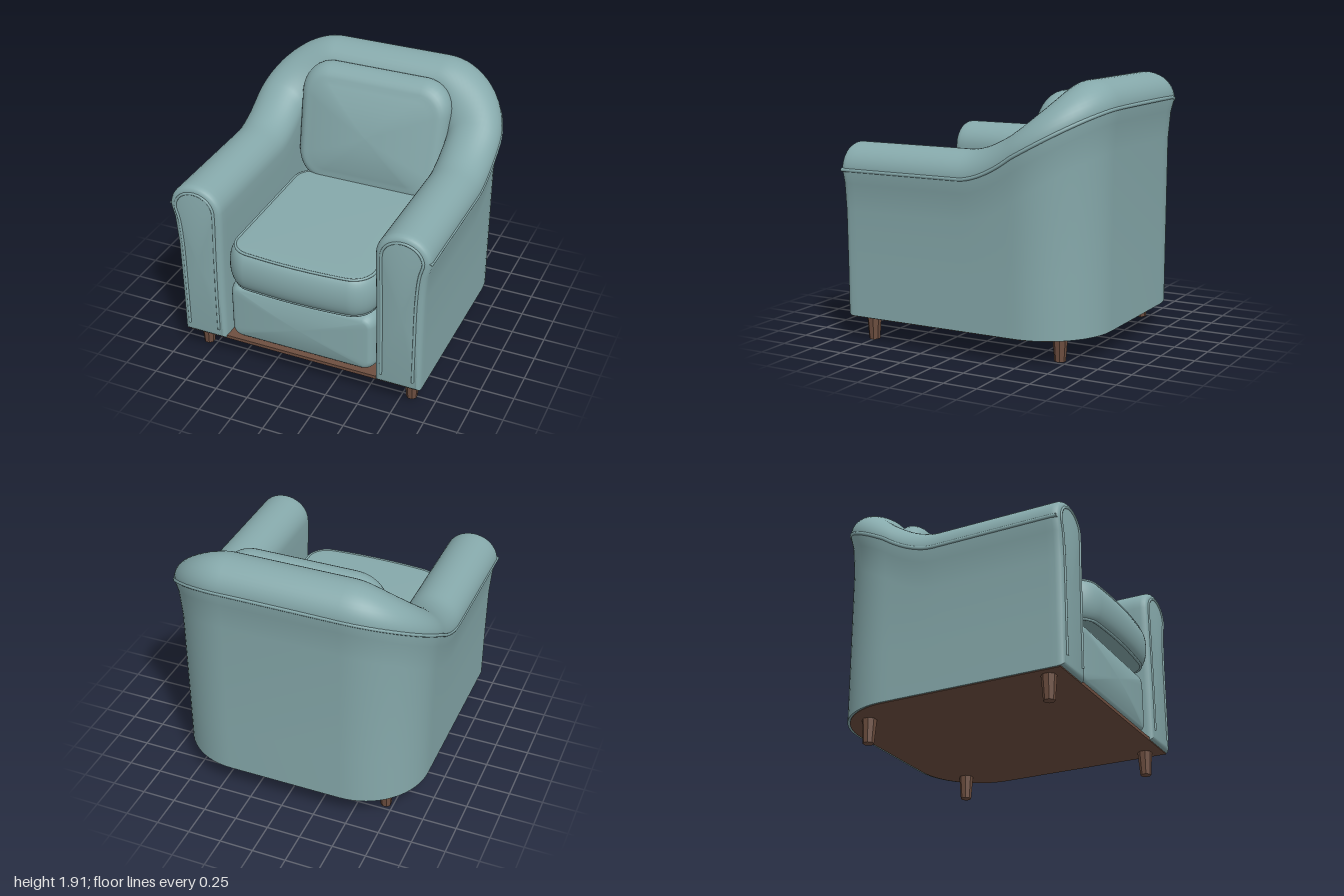
import * as THREE from 'three';
import { toCreasedNormals } from 'three/addons/utils/BufferGeometryUtils.js';

const fabric = new THREE.MeshStandardMaterial({ color: 0x86a9ab });
const wood = new THREE.MeshStandardMaterial({ color: 0x6e4f40 });
const V = (x, y, z) => new THREE.Vector3(x, y, z);

// Skin a list of closed rings with equal point counts
function loft(rings) {
  const n = rings[0].length, pos = [], idx = [];
  rings.forEach(r => r.forEach(p => pos.push(p.x, p.y, p.z)));
  for (let i = 0; i < rings.length - 1; i++) {
    for (let j = 0; j < n; j++) {
      const a = i * n + j, b = i * n + (j + 1) % n, d = a + n, c = b + n;
      idx.push(a, d, b, b, d, c);
    }
  }
  const g = new THREE.BufferGeometry();
  g.setAttribute('position', new THREE.Float32BufferAttribute(pos, 3));
  g.setIndex(idx);
  g.computeVertexNormals();
  return g;
}

// Counter-clockwise rounded rectangle with subdivided straight sides
function outline(w, h, r) {
  const pts = [];
  for (let q = 0; q < 4; q++) {
    const cx = (q === 0 || q === 3 ? 1 : -1) * (w / 2 - r);
    const cy = (q < 2 ? 1 : -1) * (h / 2 - r);
    for (let k = 0; k <= 8; k++) {
      const a = (q + k / 8) * Math.PI / 2;
      pts.push(V(cx + r * Math.cos(a), cy + r * Math.sin(a), 0));
    }
    const span = q % 2 ? h - 2 * r : w - 2 * r, a = (q + 1) * Math.PI / 2, last = pts[pts.length - 1];
    for (let k = 1; k < 8; k++) pts.push(V(last.x - Math.sin(a) * span * k / 8, last.y + Math.cos(a) * span * k / 8, 0));
  }
  return pts;
}

// Stuffed cushion facing +z: rounded rim of half depth D and soft domed faces
function pillow(w, h, r, D, edge, puff) {
  const ring = (inset, s, t) => outline(w - 2 * inset, h - 2 * inset, r - inset).map(p => V(p.x * s, p.y * s, t));
  const rings = [], caps = [0, 0.2, 0.4, 0.6, 0.8, 0.92];
  caps.forEach(s => rings.push(ring(edge, s, D + puff * (1 - s * s))));
  for (let k = 0; k <= 14; k++) {
    const a = Math.PI / 2 - Math.PI * k / 14;
    rings.push(ring(edge * (1 - Math.cos(a)), 1, D * Math.sin(a)));
  }
  caps.reverse().forEach(s => rings.push(ring(edge, s, -D - puff * (1 - s * s))));
  return loft(rings);
}

function moveVertices(g, rule) {
  const p = g.attributes.position, v = V(0, 0, 0);
  for (let i = 0; i < p.count; i++) {
    rule(v.fromBufferAttribute(p, i));
    p.setXYZ(i, v.x, v.y, v.z);
  }
  g.computeVertexNormals();
  return g;
}

// Stations along the U-shaped centreline: position, outward direction, roll height
const FRONT = 0.92, R = 0.35, CX = 0.43, CZ = -0.45;
function stations() {
  const half = [];
  for (let k = 0; k <= 26; k++) {
    const z = 0.87 + (CZ - 0.87) * k / 26;
    const rise = Math.max(0, (-0.05 - z) / 0.4);
    half.push({ x: CX + R, z, nx: 1, nz: 0, h: 1.25 + 0.17 * rise ** 1.7 });
  }
  for (let k = 1; k <= 16; k++) {
    const a = k / 16 * Math.PI / 2, c = Math.cos(a), s = Math.sin(a);
    half.push({ x: CX + R * c, z: CZ - R * s, nx: c, nz: -s, h: 1.42 + 0.31 * s });
  }
  const mirrored = half.map(s => ({ ...s, x: -s.x, nx: -s.nx })).reverse();
  return [...half, ...mirrored];
}

// Wall section with rolled top, as [offset outward, height]
function section(h, inset) {
  const b = 0.18 + inset, pts = [[0.15 - inset, b], [0.152 - inset, 0.55], [0.158 - inset, h - 0.3], [0.175 - inset, h - 0.1]];
  for (let k = 0; k <= 20; k++) {
    const a = Math.PI * k / 20;
    pts.push([(0.2 - inset) * Math.cos(a), h + (0.185 - inset) * Math.sin(a)]);
  }
  pts.push([-0.2 + inset, h - 0.1], [-0.195 + inset, h - 0.3], [-0.19 + inset, 0.55], [-0.19 + inset, b]);
  return pts;
}
const place = (s, [d, y]) => V(s.x + s.nx * d, y, s.z + s.nz * d);

const tube = (pts, r, closed = false) =>
  new THREE.TubeGeometry(new THREE.CatmullRomCurve3(pts, closed), pts.length * 3, r, 8, closed);

export function createModel() {
  const root = new THREE.Group();
  const add = (name, geo, mat = fabric, x = 0, y = 0, z = 0) => {
    const m = new THREE.Mesh(geo, mat);
    m.name = name;
    m.position.set(x, y, z);
    root.add(m);
    return m;
  };

  // Arms and back as one swept shell with softly rounded front ends
  const path = stations();
  const endRings = s => {
    const rings = [section(s.h, 0.04).map(() => V(s.x, 0.8, FRONT))];
    for (let k = 4; k >= 1; k--) {
      const a = k / 4 * Math.PI / 2;
      const end = { ...s, z: 0.87 + 0.05 * Math.sin(a) };
      rings.push(section(s.h, 0.04 * (1 - Math.cos(a))).map(p => place(end, p)));
    }
    return rings;
  };
  const first = path[0], last = path[path.length - 1];
  const shell = loft([
    ...endRings(first),
    ...path.map(s => section(s.h, 0).map(p => place(s, p))),
    ...endRings(last).reverse(),
  ]);
  add('armAndBackShell', toCreasedNormals(shell, 0.75));

  // Piping under the roll, running around the outside
  const trim = [{ ...first, z: FRONT - 0.01 }, ...path, { ...last, z: FRONT - 0.01 }];
  add('rollPiping', tube(trim.map(s => place(s, [0.193, s.h])), 0.014));

  // Piping framing each arm front
  for (const [s, side] of [[first, 'left'], [last, 'right']]) {
    const pts = section(s.h, 0.05).map(p => place({ ...s, z: FRONT }, p));
    pts[0].y = pts[pts.length - 1].y = 0.26;
    add(side + 'ArmFrontPiping', tube(pts, 0.01));
  }

  // Seat cushion with a bowed front, and its piping
  const bow = v => { v.z += 0.045 * Math.max(0, v.z / 0.655) * (1 - (v.x / 0.575) ** 2); };
  const seat = pillow(1.15, 1.31, 0.18, 0.155, 0.065, 0.005).rotateX(-Math.PI / 2);
  add('seatCushion', moveVertices(seat, bow), fabric, 0, 0.845, 0.29);
  for (const [name, y] of [['seatTopPiping', 0.148], ['seatBottomPiping', -0.148]]) {
    const pts = outline(1.06, 1.22, 0.14).map(p => V(p.x, y, -p.y));
    pts.forEach(bow);
    add(name, tube(pts, 0.01, true), fabric, 0, 0.845, 0.29);
  }

  // Padded front below the seat, with the deck behind it
  add('frontPad', pillow(1.15, 0.49, 0.1, 0.14, 0.06, 0.03), fabric, 0, 0.435, 0.74);
  add('seatDeck', new THREE.BoxGeometry(1.16, 0.46, 1.3), fabric, 0, 0.43, 0.03);

  // Leaning back cushion, slightly narrower at the bottom
  const back = pillow(1.2, 0.9, 0.23, 0.11, 0.1, 0.06);
  moveVertices(back, v => {
    v.x *= 0.98 + 0.04 * v.y;
    v.z -= 0.22 * v.y;
  });
  add('backCushion', back, fabric, 0, 1.38, -0.46);

  // Base board
  const board = new THREE.Shape();
  board.moveTo(-0.92, -0.89);
  board.lineTo(0.92, -0.89);
  board.lineTo(0.92, 0.45);
  board.absarc(0.43, 0.44, 0.49, 0, Math.PI / 2);
  board.absarc(-0.43, 0.44, 0.49, Math.PI / 2, Math.PI);
  const boardGeo = new THREE.ExtrudeGeometry(board, { depth: 0.025, bevelEnabled: false, curveSegments: 16 });
  add('baseBoard', boardGeo.rotateX(-Math.PI / 2), wood, 0, 0.175, 0);

  // Tapered legs, the rear pair set closer together
  const legGeo = toCreasedNormals(new THREE.CylinderGeometry(0.054, 0.04, 0.18, 8).rotateY(Math.PI / 8), 0.5);
  for (const side of [-1, 1]) {
    add('frontLeg', legGeo, wood, side * 0.82, 0.09, 0.76);
    add('backLeg', legGeo, wood, side * 0.695, 0.09, -0.69);
  }
  return root;
}
